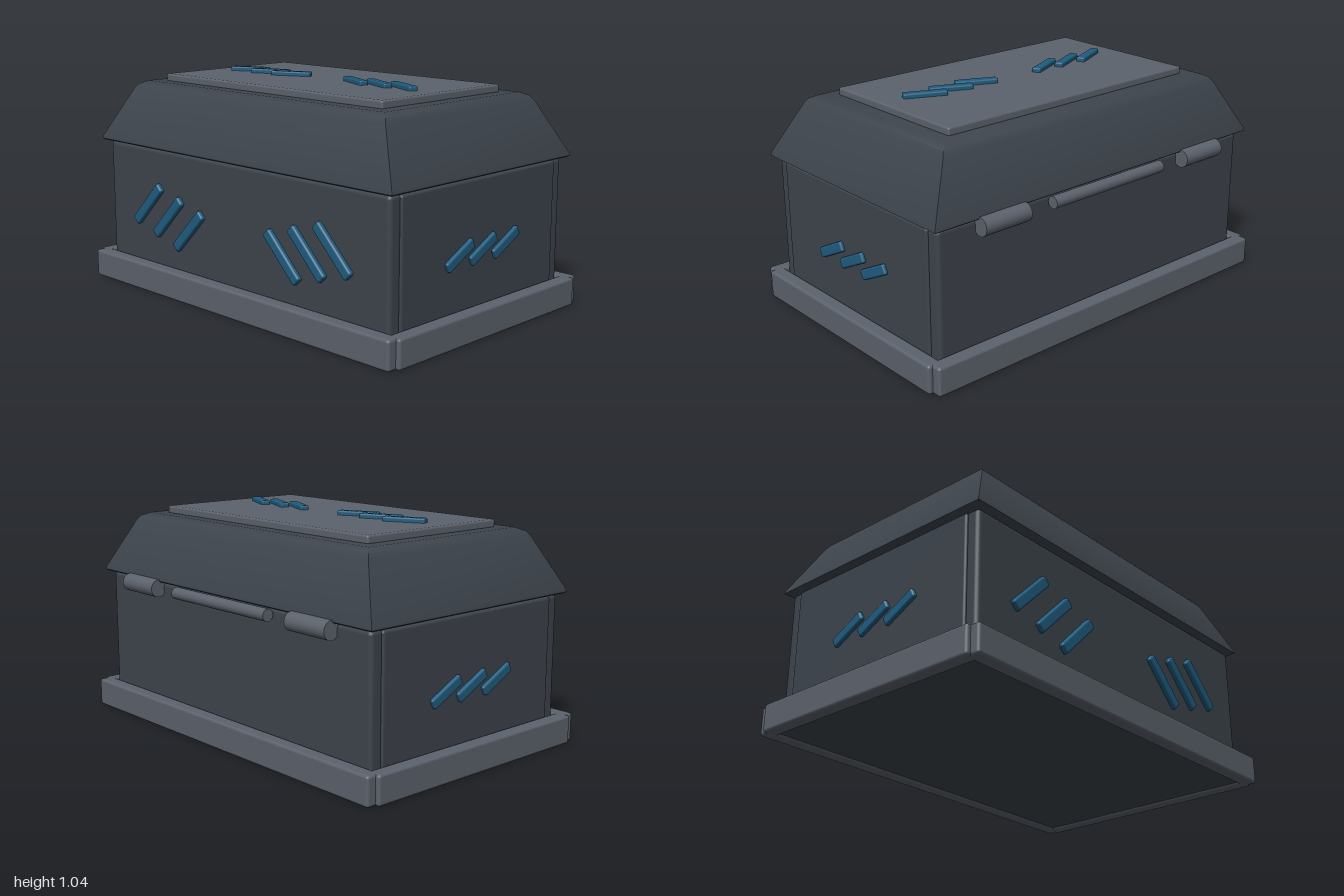
import * as THREE from 'three';
import { RoundedBoxGeometry } from 'three/addons/geometries/RoundedBoxGeometry.js';
import { toCreasedNormals } from 'three/addons/utils/BufferGeometryUtils.js';

const dark = new THREE.MeshStandardMaterial({ color: 0x3d444c });
const trim = new THREE.MeshStandardMaterial({ color: 0x5c626c });
const blue = new THREE.MeshStandardMaterial({ color: 0x1f5c7f });

function add(parent, name, geometry, material, x, y, z) {
  const mesh = new THREE.Mesh(geometry, material);
  mesh.name = name;
  mesh.position.set(x, y, z);
  parent.add(mesh);
  return mesh;
}

const rounded = (w, h, d, r) => new RoundedBoxGeometry(w, h, d, 2, r);

// Hipped solid from stacked rectangles: [halfWidth, y, halfDepth]
function hippedSolid(rings) {
  const positions = [], indices = [];
  for (const [x, y, z] of rings) {
    positions.push(x, y, z, x, y, -z, -x, y, -z, -x, y, z);
  }
  for (let i = 0; i < rings.length - 1; i++) {
    for (let k = 0; k < 4; k++) {
      const a = i * 4 + k, b = i * 4 + (k + 1) % 4;
      indices.push(a, b, b + 4, a, b + 4, a + 4);
    }
  }
  const t = (rings.length - 1) * 4;
  indices.push(0, 2, 1, 0, 3, 2, t, t + 1, t + 2, t, t + 2, t + 3);
  const geometry = new THREE.BufferGeometry();
  geometry.setAttribute('position', new THREE.Float32BufferAttribute(positions, 3));
  geometry.setIndex(indices);
  return toCreasedNormals(geometry, 0.8);
}

export function createModel() {
  const model = new THREE.Group();
  model.name = 'chest';

  // Floor and walls
  add(model, 'floor', new THREE.BoxGeometry(1.88, 0.08, 1.2), dark, 0, 0.05, 0);
  for (const s of [1, -1]) {
    add(model, s > 0 ? 'frontWall' : 'backWall',
      rounded(1.84, 0.625, 0.07, 0.02), dark, 0, 0.3725, s * 0.543);
    add(model, s > 0 ? 'leftWall' : 'rightWall',
      rounded(0.07, 0.62, 1.04, 0.012), dark, s * 0.893, 0.37, 0);

    // Base rails
    add(model, s > 0 ? 'frontRail' : 'backRail',
      rounded(1.96, 0.132, 0.07, 0.013), trim, 0, 0.066, s * 0.613);
    add(model, s > 0 ? 'leftRail' : 'rightRail',
      rounded(0.07, 0.132, 1.21, 0.013), trim, s * 0.965, 0.066, 0);

    // Hinge barrels
    const hinge = add(model, 'hinge',
      new THREE.CylinderGeometry(0.042, 0.042, 0.245, 24), trim, s * 0.604, 0.661, -0.607);
    hinge.rotation.z = Math.PI / 2;
  }
  const bar = add(model, 'hingeBar',
    new THREE.CylinderGeometry(0.028, 0.028, 0.665, 20), trim, 0, 0.661, -0.611);
  bar.rotation.z = Math.PI / 2;

  // Lid with sloped sides and a softened shoulder
  const lid = hippedSolid([
    [0.94, 0.688, 0.595], [0.95, 0.695, 0.605], [0.948, 0.708, 0.603],
    [0.82, 0.945, 0.5], [0.805, 0.966, 0.483], [0.77, 0.982, 0.45],
  ]);
  add(model, 'lid', lid, dark, 0, 0, 0);
  add(model, 'lidPlate', rounded(1.41, 0.04, 0.785, 0.01), trim, 0, 0.996, 0);

  // Slanted light strips, mirrored on the front and the lid
  for (const s of [1, -1]) {
    for (let i = 0; i < 3; i++) {
      const front = add(model, 'frontStrip', rounded(0.27, 0.05, 0.04, 0.01), blue,
        s * (0.315 + 0.15 * i), 0.329 + 0.042 * i, 0.58);
      front.rotation.z = -s * Math.PI / 4;

      const top = add(model, 'lidStrip', rounded(0.2, 0.03, 0.042, 0.008), blue,
        s * (0.21 + 0.145 * i), 1.022, 0.026);
      top.rotation.y = -s * 0.42;
    }
  }

  // The same three strips on each end, turned half way round
  for (const angle of [0, Math.PI]) {
    const side = new THREE.Group();
    side.name = 'sideStrips';
    side.rotation.y = angle;
    for (let i = -1; i <= 1; i++) {
      const strip = add(side, 'sideStrip', rounded(0.04, 0.048, 0.188, 0.01), blue,
        0.925, 0.371, i * 0.157);
      strip.rotation.x = 0.47;
    }
    model.add(side);
  }
  return model;
}
